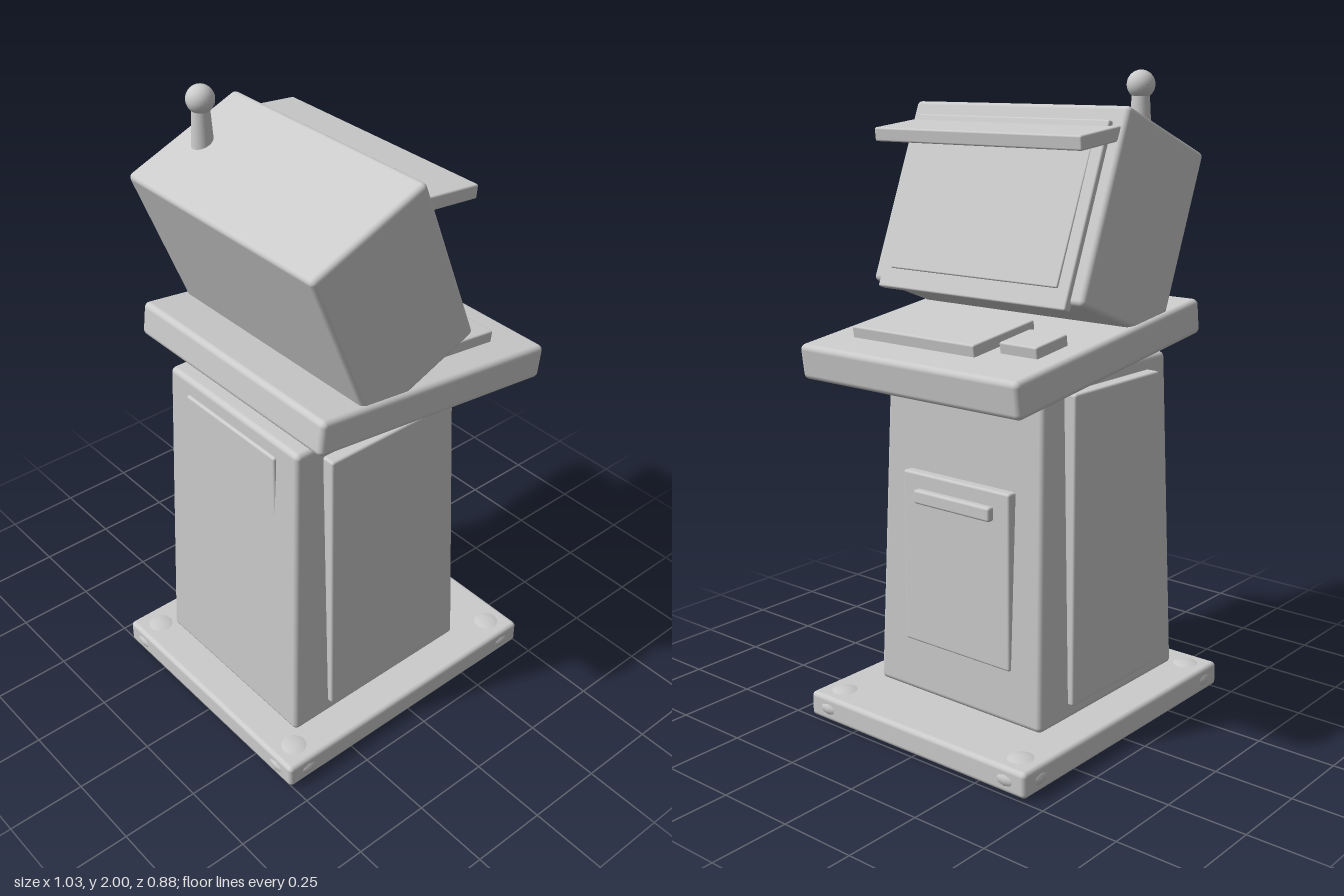
import * as THREE from 'three';
import { RoundedBoxGeometry } from 'three/addons/geometries/RoundedBoxGeometry.js';

const grey = new THREE.MeshStandardMaterial({ color: 0xcccccc });
grey.name = 'light grey';

function add(parent, name, geometry, x, y, z, tilt = 0) {
  const mesh = new THREE.Mesh(geometry, grey);
  mesh.name = name;
  mesh.position.set(x, y, z);
  mesh.rotation.z = tilt;
  parent.add(mesh);
  return mesh;
}

const box = (w, h, d, r = 0.012) => new RoundedBoxGeometry(w, h, d, 3, r);

// Tilted assembly whose parts are placed in its own frame
function tilted(parent, name, x, y, angle) {
  const group = new THREE.Group();
  group.name = name;
  group.position.set(x, y, 0);
  group.rotation.z = angle;
  parent.add(group);
  return group;
}

// Rounded box narrowing evenly towards the top
function taperedBox(w, h, d, topW, topD) {
  const geometry = box(w, h, d, 0.018);
  const p = geometry.attributes.position;
  for (let i = 0; i < p.count; i++) {
    const t = p.getY(i) / h + 0.5;
    p.setX(i, p.getX(i) * (1 + t * (topW / w - 1)));
    p.setZ(i, p.getZ(i) * (1 + t * (topD / d - 1)));
  }
  return geometry;
}

export function createModel() {
  const model = new THREE.Group();
  model.name = 'kiosk';

  // Plinth with four flattened feet set into its corners
  add(model, 'plinth', box(1.01, 0.08, 0.87, 0.015), -0.005, 0.046, 0);
  for (const x of [-0.435, 0.425]) {
    for (const z of [-0.36, 0.36]) {
      add(model, 'foot', new THREE.SphereGeometry(0.081, 24, 16), x, 0.046, z).scale.y = 0.57;
    }
  }

  // Pedestal with side panels, rear panel and front door
  add(model, 'pedestal', taperedBox(0.695, 1.05, 0.655, 0.61, 0.605), -0.053, 0.618, 0);
  for (const side of [-1, 1]) {
    add(model, 'sidePanel', box(0.425, 0.96, 0.05, 0.008), -0.0525, 0.62, side * 0.32);
  }
  add(model, 'rearPanel', box(0.03, 0.8, 0.42, 0.008), -0.354, 0.69, 0);
  add(model, 'door', box(0.04, 0.55, 0.42, 0.008), 0.276, 0.535, 0);
  add(model, 'doorHandle', box(0.035, 0.044, 0.3, 0.008), 0.3, 0.74, 0);

  // Sloping control deck with two raised pads
  const deck = tilted(model, 'controlDeck', 0.07, 1.209, -0.131);
  add(deck, 'deckTop', box(0.885, 0.11, 0.84, 0.018), 0, 0, 0);
  add(deck, 'keyboard', box(0.272, 0.06, 0.48, 0.006), 0.18, 0.06, 0.075);
  add(deck, 'sidePad', box(0.14, 0.06, 0.135, 0.006), 0.185, 0.058, -0.273);

  // Monitor leaning back, with bezel and screen on its front
  const monitor = tilted(model, 'monitor', -0.088, 1.56, 0.375);
  add(monitor, 'monitorCase', box(0.42, 0.58, 0.81, 0.016), 0, 0, 0);
  add(monitor, 'bezel', box(0.03, 0.55, 0.72, 0.006), 0.212, -0.035, 0);
  add(monitor, 'screen', box(0.02, 0.42, 0.64, 0.004), 0.221, -0.04, 0, 0.012);

  // Visor over the screen
  add(model, 'visor', box(0.23, 0.042, 0.78, 0.006), 0.092, 1.821, 0, -0.11);

  // Beacon: tapered stem with a ball
  add(model, 'beaconStem', new THREE.CylinderGeometry(0.025, 0.036, 0.17, 24), -0.193, 1.865, -0.305);
  add(model, 'beaconBall', new THREE.SphereGeometry(0.042, 24, 16), -0.193, 1.958, -0.305);

  return model;
}
